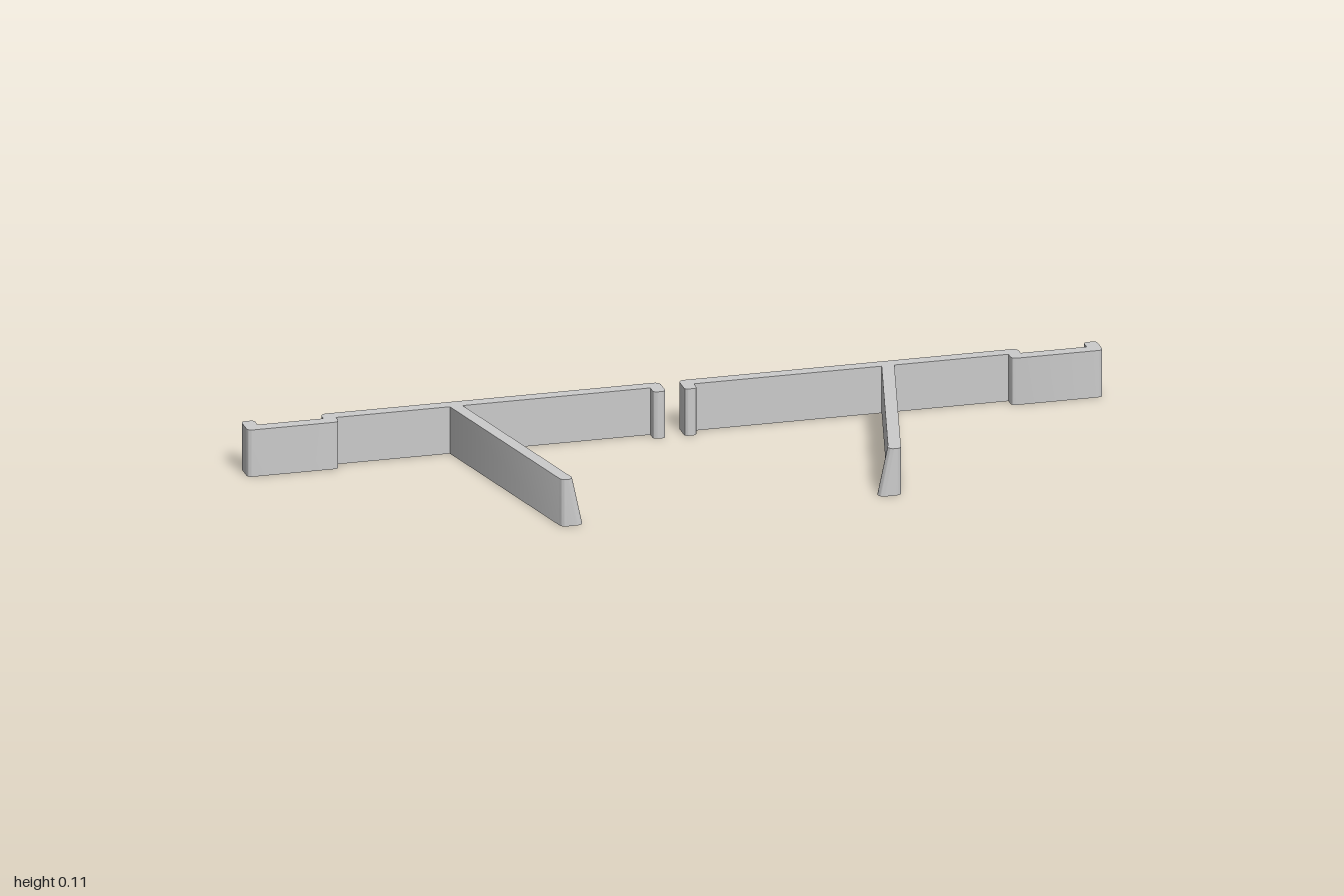
import * as THREE from 'three';
import { toCreasedNormals } from 'three/addons/utils/BufferGeometryUtils.js';

const HEIGHT = 0.113;
const R = 0.0145; // half thickness of the strips
const material = new THREE.MeshStandardMaterial({ color: 0xcccccc });

// Plan outline from [x, z, cornerRadius] points, mirrored by side
function roundedOutline(points, side) {
  const shape = new THREE.Shape();
  const n = points.length;
  points.forEach(([x, z, r = 0], i) => {
    const p = new THREE.Vector2(x * side, z);
    const toward = ([qx, qz]) =>
      new THREE.Vector2(qx * side, qz).sub(p).setLength(r).add(p);
    const a = toward(points[(i + n - 1) % n]);
    const b = toward(points[(i + 1) % n]);
    if (i === 0) shape.moveTo(a.x, a.y);
    else shape.lineTo(a.x, a.y);
    if (r > 0) shape.quadraticCurveTo(p.x, p.y, b.x, b.y);
  });
  shape.closePath();
  return shape;
}

// Strip with round ends between two plan points
function capsuleOutline(ax, az, bx, bz) {
  const t = Math.atan2(bz - az, bx - ax);
  const shape = new THREE.Shape();
  shape.absarc(bx, bz, R, t - Math.PI / 2, t + Math.PI / 2, false);
  shape.absarc(ax, az, R, t + Math.PI / 2, t + Math.PI * 1.5, false);
  shape.closePath();
  return shape;
}

// Raise a plan outline to full height, standing on y = 0
function raise(shape) {
  return new THREE.ExtrudeGeometry(shape, { depth: HEIGHT, bevelEnabled: false, curveSegments: 10 })
    .rotateX(Math.PI / 2)
    .translate(0, HEIGHT, 0);
}

function addPart(group, name, geometry) {
  const mesh = new THREE.Mesh(toCreasedNormals(geometry, 0.6), material);
  mesh.name = name;
  group.add(mesh);
}

function createBracket(side) {
  const bracket = new THREE.Group();
  bracket.name = side > 0 ? 'leftBracket' : 'rightBracket';

  // Stepped rail with a hook at each end
  const rail = [
    [0.022, -0.275, 0.016], [0.815, -0.275, 0.016], [0.815, -0.246], [0.969, -0.246],
    [0.969, -0.275, 0.011], [1.0, -0.275, 0.011], [1.0, -0.216, 0.013], [0.786, -0.216, 0.013],
    [0.786, -0.245], [0.051, -0.245], [0.051, -0.216, 0.011], [0.022, -0.216, 0.011],
  ];
  addPart(bracket, 'rail', raise(roundedOutline(rail, side)));

  // Slanted arm, its root buried in the rail
  const tipX = 0.385 * side, tipZ = 0.26;
  addPart(bracket, 'arm', raise(capsuleOutline(0.508 * side, -0.259, tipX, tipZ)));

  // Wedge foot: inner side draws back into the arm toward the top
  const reach = 0.025;
  const foot = raise(capsuleOutline(tipX, tipZ, tipX - reach * side, tipZ));
  const pos = foot.attributes.position;
  for (let i = 0; i < pos.count; i++) {
    const inner = (tipX - pos.getX(i)) * side > 0.001;
    if (inner) pos.setX(i, pos.getX(i) + side * reach * (pos.getY(i) / HEIGHT) * 0.96);
  }
  // keep the top face just beneath the arm's
  foot.scale(1, 0.999, 1);
  addPart(bracket, 'foot', foot);
  return bracket;
}

export function createModel() {
  const model = new THREE.Group();
  model.name = 'bracketPair';
  for (const side of [1, -1]) model.add(createBracket(side));
  return model;
}
